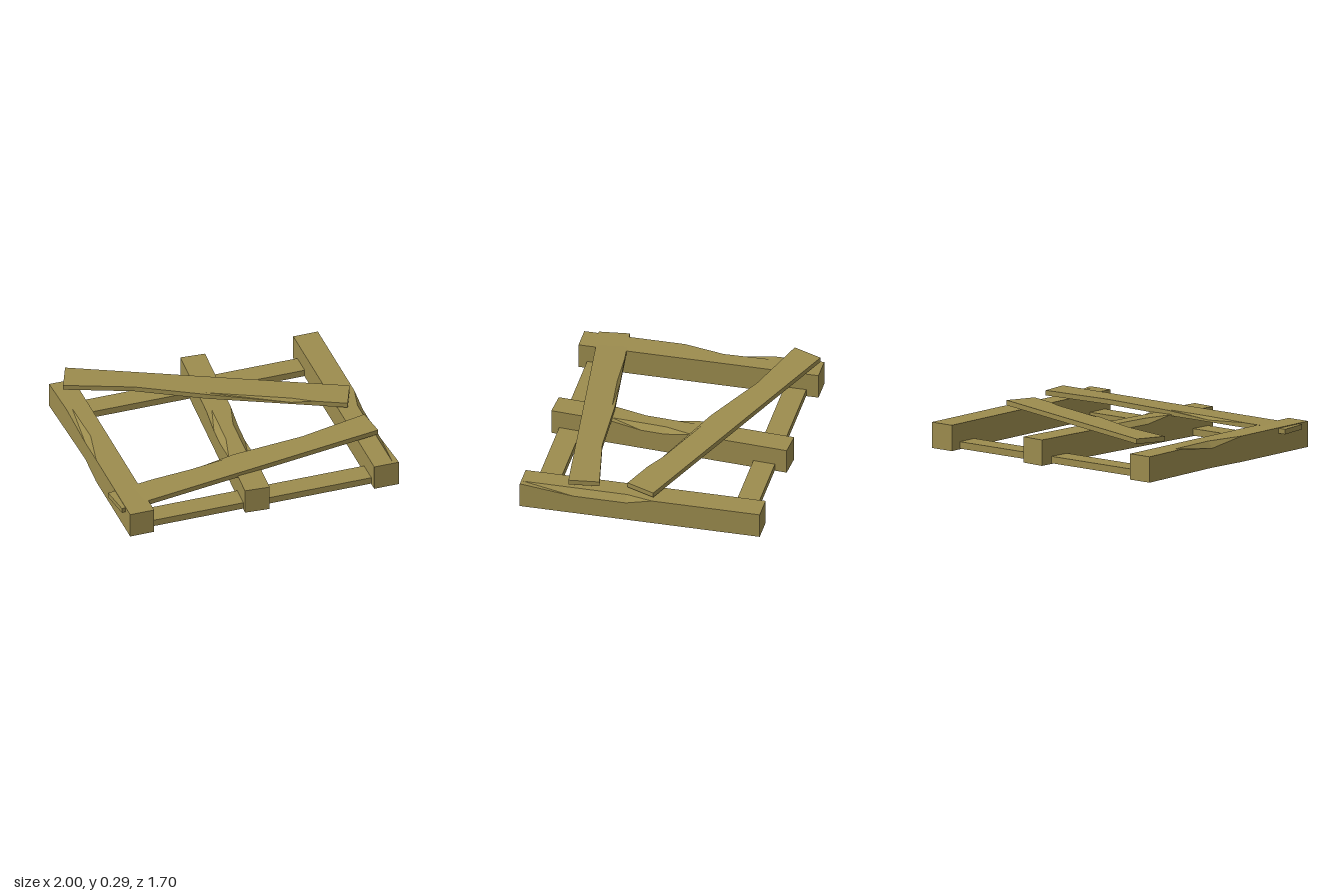
import * as THREE from 'three';

const wood = new THREE.MeshStandardMaterial({ color: 0x9c8c4e, flatShading: true });

// Worn timber lofted from a to b ([x, z]). y0 and y1 are the underside heights at each end.
// wear rows: [t along the length, side inset, drop of the top edge]; sides: which edges are worn.
function timber(name, { a, b, width, height, y0 = 0, y1 = y0, chamfer = 0.04, sides = [], wear = [] }) {
  const dir = new THREE.Vector2(b[0] - a[0], b[1] - a[1]).normalize();
  const rows = [[0, 0, 0], ...wear, [1, 0, 0]];
  const rings = rows.map(([t, inset, drop]) => {
    const cx = a[0] + (b[0] - a[0]) * t, cz = a[1] + (b[1] - a[1]) * t;
    const yb = y0 + (y1 - y0) * t, yt = yb + height;
    const half = (s) => width / 2 - (sides.includes(s) ? inset : 0);
    const edge = (s) => yt - (sides.includes(s) ? drop : 0);
    const r = half(1), l = half(-1);
    return [
      [-l, yb], [r, yb], [r, edge(1)], [r - chamfer, yt], [-l + chamfer, yt], [-l, edge(-1)],
    ].map(([v, y]) => [cx + dir.y * v, y, cz - dir.x * v]);
  });

  const pos = [];
  const tri = (...pts) => pts.forEach((p) => pos.push(...p));
  const n = rings[0].length;
  for (let i = 0; i < rings.length - 1; i++) {
    for (let k = 0; k < n; k++) {
      const p = rings[i], q = rings[i + 1], j = (k + 1) % n;
      tri(p[k], p[j], q[j]);
      tri(p[k], q[j], q[k]);
    }
  }
  const first = rings[0], last = rings[rings.length - 1];
  for (let k = 1; k < n - 1; k++) {
    tri(first[0], first[k + 1], first[k]);
    tri(last[0], last[k], last[k + 1]);
  }

  const geometry = new THREE.BufferGeometry();
  geometry.setAttribute('position', new THREE.Float32BufferAttribute(pos, 3));
  geometry.computeVertexNormals();
  const mesh = new THREE.Mesh(geometry, wood);
  mesh.name = name;
  return mesh;
}

export function createModel() {
  const group = new THREE.Group();
  group.name = 'brokenPallet';

  // Three bearers running front to back, each with a worn top edge
  group.add(
    timber('leftBearer', {
      a: [0.91, -0.84], b: [0.91, 0.845], width: 0.178, height: 0.18, sides: [1],
      wear: [[0.45, 0, 0], [0.558, 0, 0.043], [0.777, 0, 0.043], [0.99, 0, 0]],
    }),
    timber('rightBearer', {
      a: [-0.859, -0.84], b: [-0.859, 0.845], width: 0.174, height: 0.18, sides: [-1],
      wear: [[0.2, 0.01, 0], [0.41, 0.02, 0.045], [0.58, 0, 0]],
    }),
    timber('middleBearer', {
      a: [0.095, -0.845], b: [-0.022, 0.835], width: 0.175, height: 0.18, sides: [1, -1],
      wear: [[0.4, 0, 0], [0.52, 0, 0.035], [0.62, 0, 0.035], [0.75, 0, 0]],
    }),
  );

  // Thin boards joining the bearers at the bottom
  for (const [name, z] of [['backBottomBoard', -0.678], ['frontBottomBoard', 0.708]]) {
    const board = new THREE.Mesh(new THREE.BoxGeometry(1.64, 0.048, 0.154), wood);
    board.position.set(0.025, 0.029, z);
    board.name = name;
    group.add(board);
  }

  // Two loose planks lying askew on top
  group.add(
    timber('backLoosePlank', {
      a: [-0.873, -0.74], b: [0.925, 0.015], width: 0.217, height: 0.035,
      y0: 0.255, y1: 0.19, chamfer: 0.02, sides: [-1],
      wear: [[0.25, 0.035, 0], [0.5, 0, 0], [0.8, 0, 0.022], [0.88, 0, 0]],
    }),
    timber('frontLoosePlank', {
      a: [-0.985, 0.643], b: [0.952, 0.405], width: 0.214, height: 0.035,
      y0: 0.139, y1: 0.205, chamfer: 0.02, sides: [1],
      wear: [[0.17, 0, 0], [0.32, 0, 0.022], [0.49, 0, 0], [0.75, 0.033, 0]],
    }),
  );

  return group;
}
